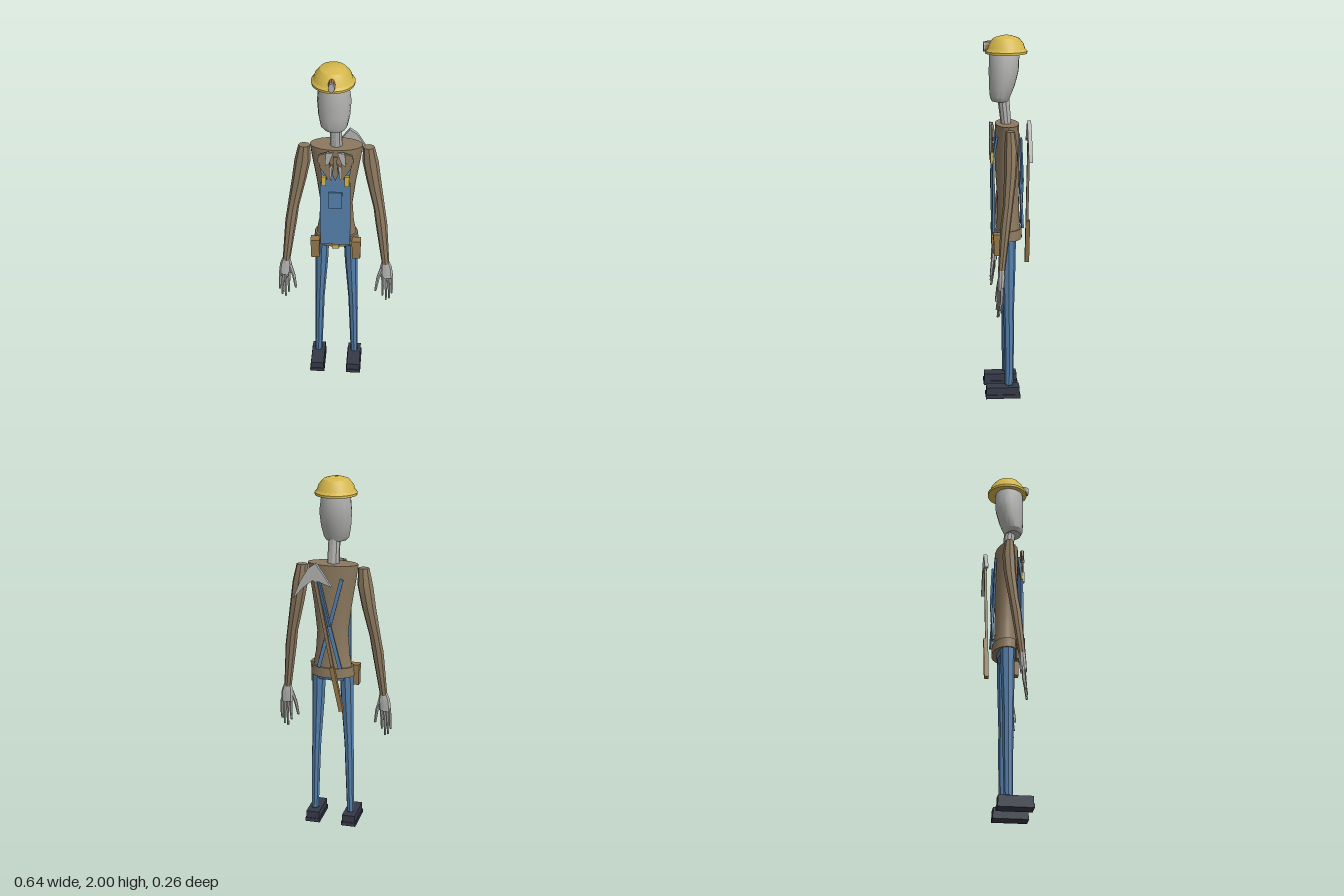
import * as THREE from 'three';
import { toCreasedNormals } from 'three/addons/utils/BufferGeometryUtils.js';

const paint = (name, color) => {
  const m = new THREE.MeshStandardMaterial({ color, side: THREE.DoubleSide });
  m.name = name;
  return m;
};
const mats = {
  grey: paint('pale grey', 0xb2b2b0),
  coat: paint('coat brown', 0x8c795f),
  denim: paint('denim blue', 0x547fab),
  yellow: paint('helmet yellow', 0xd6b84c),
  shoe: paint('shoe black', 0x363a48),
  leather: paint('leather brown', 0x94774a),
};

export function createModel() {
  const root = new THREE.Group();
  root.name = 'worker';

  const add = (name, geo, mat, x = 0, y = 0, z = 0) => {
    const m = new THREE.Mesh(toCreasedNormals(geo, 0.5), mat);
    m.name = name;
    m.position.set(x, y, z);
    root.add(m);
    return m;
  };
  const box = (name, mat, w, h, d, x, y, z) => add(name, new THREE.BoxGeometry(w, h, d), mat, x, y, z);

  // Solid through elliptical rings [x, y, z, rx, rz], listed from top to bottom
  const loft = (name, mat, rings, sides) => {
    const geo = new THREE.CylinderGeometry(1, 1, 1, sides, rings.length - 1);
    const p = geo.attributes.position;
    for (let i = 0; i < p.count; i++) {
      const [x, y, z, rx, rz] = rings[Math.round((0.5 - p.getY(i)) * (rings.length - 1))];
      p.setXYZ(i, x + p.getX(i) * rx, y, z + p.getZ(i) * rz);
    }
    return add(name, geo, mat);
  };

  // Bar of rectangular section from point a to point b
  const bar = (name, mat, a, b, w, d) => {
    const from = new THREE.Vector3(...a), dir = new THREE.Vector3(...b).sub(from);
    const m = box(name, mat, w, dir.length(), d, 0, 0, 0);
    m.position.copy(from).addScaledVector(dir, 0.5);
    m.quaternion.setFromUnitVectors(new THREE.Vector3(0, 1, 0), dir.normalize());
    return m;
  };

  // Flat plate from an xy outline, starting at depth z
  const plate = (name, mat, pts, depth, z) => add(name, new THREE.ExtrudeGeometry(
    new THREE.Shape(pts.map(([x, y]) => new THREE.Vector2(x, y))), { depth, bevelEnabled: false }), mat, 0, 0, z);

  // Head and neck
  loft('head', mats.grey, [
    [-0.012, 1.935, 0.012, 0.07, 0.07], [-0.012, 1.89, 0.014, 0.079, 0.081],
    [-0.01, 1.81, 0.017, 0.088, 0.08], [-0.01, 1.73, 0.027, 0.082, 0.069],
    [-0.01, 1.67, 0.037, 0.07, 0.054], [-0.008, 1.65, 0.037, 0.055, 0.045]], 16);
  loft('neck', mats.grey, [[-0.003, 1.67, 0.02, 0.032, 0.032], [0, 1.51, 0.004, 0.034, 0.028]], 10);

  // Hard hat with brim, top ridge and lamp
  const hat = [[0, 2], [0.03, 1.997], [0.068, 1.985], [0.093, 1.955], [0.101, 1.928], [0.113, 1.916],
    [0.112, 1.903], [0.09, 1.908], [0, 1.925]].reverse().map(([x, y]) => new THREE.Vector2(x, y));
  add('helmet', new THREE.LatheGeometry(hat, 24), mats.yellow, -0.016, 0, 0.003);
  box('helmetRidge', mats.yellow, 0.008, 0.006, 0.025, -0.02, 1.997, 0.003);
  const disc = (name, mat, r, h, z) => {
    const m = add(name, new THREE.CylinderGeometry(r, r * 1.1, h, 10), mat, -0.018, 1.94, z);
    m.rotation.x = Math.PI / 2;
    m.scale.z = 1.6;
  };
  disc('lampMount', mats.leather, 0.018, 0.03, 0.1);
  disc('lampGlass', mats.grey, 0.016, 0.01, 0.12);

  // Coat body, coat hem and hips
  loft('torso', mats.coat, [
    [0, 1.53, 0, 0.14, 0.064], [0, 1.45, 0, 0.129, 0.066], [0, 1.3, 0, 0.105, 0.066],
    [0, 1.15, -0.004, 0.087, 0.06], [0, 1.03, -0.006, 0.095, 0.06], [0, 0.93, -0.006, 0.113, 0.067]], 20);
  loft('belt', mats.coat, [[0, 0.955, -0.004, 0.118, 0.075], [0, 0.9, -0.004, 0.123, 0.078]], 20);
  loft('hips', mats.denim, [[0, 0.91, -0.003, 0.114, 0.055], [0, 0.875, -0.003, 0.114, 0.045]], 10);
  box('beltBuckle', mats.yellow, 0.04, 0.025, 0.012, 0, 0.91, 0.08);

  // Overall bib and pocket
  plate('bib', mats.denim, [[-0.083, 0.925], [0.08, 0.925], [0.08, 1.33], [0.045, 1.36], [0.04, 1.41],
    [-0.04, 1.41], [-0.045, 1.36], [-0.083, 1.33]], 0.012, 0.072);
  box('bibPocket', mats.denim, 0.072, 0.105, 0.009, 0, 1.225, 0.087);
  plate('necktie', mats.coat, [[0, 1.36], [0.016, 1.4], [0.008, 1.48], [0.012, 1.51], [-0.012, 1.51],
    [-0.008, 1.48], [-0.016, 1.4]], 0.009, 0.088);

  for (const s of [1, -1]) {
    const side = s > 0 ? 'left' : 'right';
    const mirror = pts => pts.map(([x, ...rest]) => [x * s, ...rest]);

    // Trouser leg and shoe
    loft(side + 'Leg', mats.denim, mirror([
      [0.078, 0.9, -0.003, 0.038, 0.04], [0.083, 0.75, -0.003, 0.036, 0.037],
      [0.094, 0.48, -0.002, 0.026, 0.029], [0.097, 0.4, -0.004, 0.026, 0.029],
      [0.105, 0.07, -0.003, 0.021, 0.024]]), 8);
    box(side + 'Sole', mats.shoe, 0.084, 0.022, 0.192, 0.105 * s, 0.011, 0.032);
    const upper = box(side + 'Shoe', mats.shoe, 0.076, 0.042, 0.184, 0.105 * s, 0.042, 0.032);
    upper.scale.x = 0.97;

    // Sleeve
    loft(side + 'Arm', mats.coat, mirror([
      [0.17, 1.515, -0.004, 0.031, 0.025], [0.18, 1.42, -0.008, 0.043, 0.036],
      [0.2, 1.3, -0.004, 0.039, 0.034], [0.233, 1.13, 0.012, 0.031, 0.027],
      [0.246, 1.04, 0.024, 0.032, 0.028], [0.276, 0.78, 0.05, 0.021, 0.019]]), 8);

    // Hand with four fingers and thumb
    loft(side + 'Palm', mats.grey, mirror([
      [0.276, 0.79, 0.05, 0.022, 0.017], [0.28, 0.75, 0.05, 0.033, 0.02],
      [0.285, 0.685, 0.055, 0.034, 0.018]]), 8);
    [[0.311, 0.05, 0.316, 0.575], [0.295, 0.054, 0.302, 0.54], [0.279, 0.058, 0.284, 0.53], [0.261, 0.062, 0.264, 0.565]]
      .forEach(([x, z, tipX, tipY], i) => loft(side + 'Finger' + (i + 1), mats.grey, mirror([
        [x, 0.7, z, 0.0085, 0.009], [x + 0.004, 0.63, z + 0.002, 0.0085, 0.009],
        [tipX, tipY, z + 0.013, 0.006, 0.006]]), 6));
    loft(side + 'Thumb', mats.grey, mirror([
      [0.258, 0.75, 0.055, 0.012, 0.011], [0.236, 0.68, 0.066, 0.01, 0.01],
      [0.224, 0.6, 0.076, 0.007, 0.007]]), 6);

    // Lapel and shirt collar
    plate(side + 'Lapel', mats.coat, mirror([[0.035, 1.53], [0.09, 1.51], [0.095, 1.47], [0.08, 1.45],
      [0.085, 1.44], [0.02, 1.33], [0.028, 1.42]]), 0.012, 0.074);
    plate(side + 'Collar', mats.grey, mirror([[0.01, 1.535], [0.05, 1.53], [0.055, 1.45], [0.034, 1.465]]), 0.009, 0.086);
    plate(side + 'ShirtTail', mats.grey, mirror([[0.014, 1.46], [0.034, 1.44], [0.034, 1.38], [0.024, 1.36]]), 0.008, 0.087);

    // Suspenders: front, over the shoulder, then crossing the back
    bar(side + 'FrontStrap', mats.denim, [0.06 * s, 1.34, 0.08], [0.075 * s, 1.47, 0.06], 0.022, 0.012);
    box(side + 'StrapClip', mats.yellow, 0.024, 0.06, 0.014, 0.061 * s, 1.352, 0.087);
    bar(side + 'BackStrap', mats.denim, [0.065 * s, 1.46, -0.068], [0, 1.2, -0.078 - 0.006 * s], 0.02, 0.01);
    bar(side + 'LowerBackStrap', mats.denim, [0, 1.2, -0.078 - 0.006 * s], [-0.06 * s, 0.96, -0.08], 0.02, 0.01);

    // Belt pouch with flap
    box(side + 'Pouch', mats.leather, 0.046, 0.105, 0.04, 0.113 * s, 0.88, 0.06);
    box(side + 'PouchFlap', mats.leather, 0.05, 0.035, 0.046, 0.113 * s, 0.928, 0.06);
  }

  // Pickaxe slung across the back
  bar('pickHandle', mats.coat, [0.075, 1.5, -0.112], [-0.068, 0.76, -0.112], 0.017, 0.014);
  bar('pickGrip', mats.leather, [-0.024, 0.98, -0.117], [-0.078, 0.73, -0.117], 0.024, 0.024);
  plate('pickHead', mats.grey, [[0.19, 1.35], [0.15, 1.45], [0.105, 1.525], [0.065, 1.555], [0.025, 1.5],
    [-0.02, 1.43], [0.045, 1.455], [0.08, 1.46], [0.13, 1.42]], 0.021, -0.123);

  return root;
}
